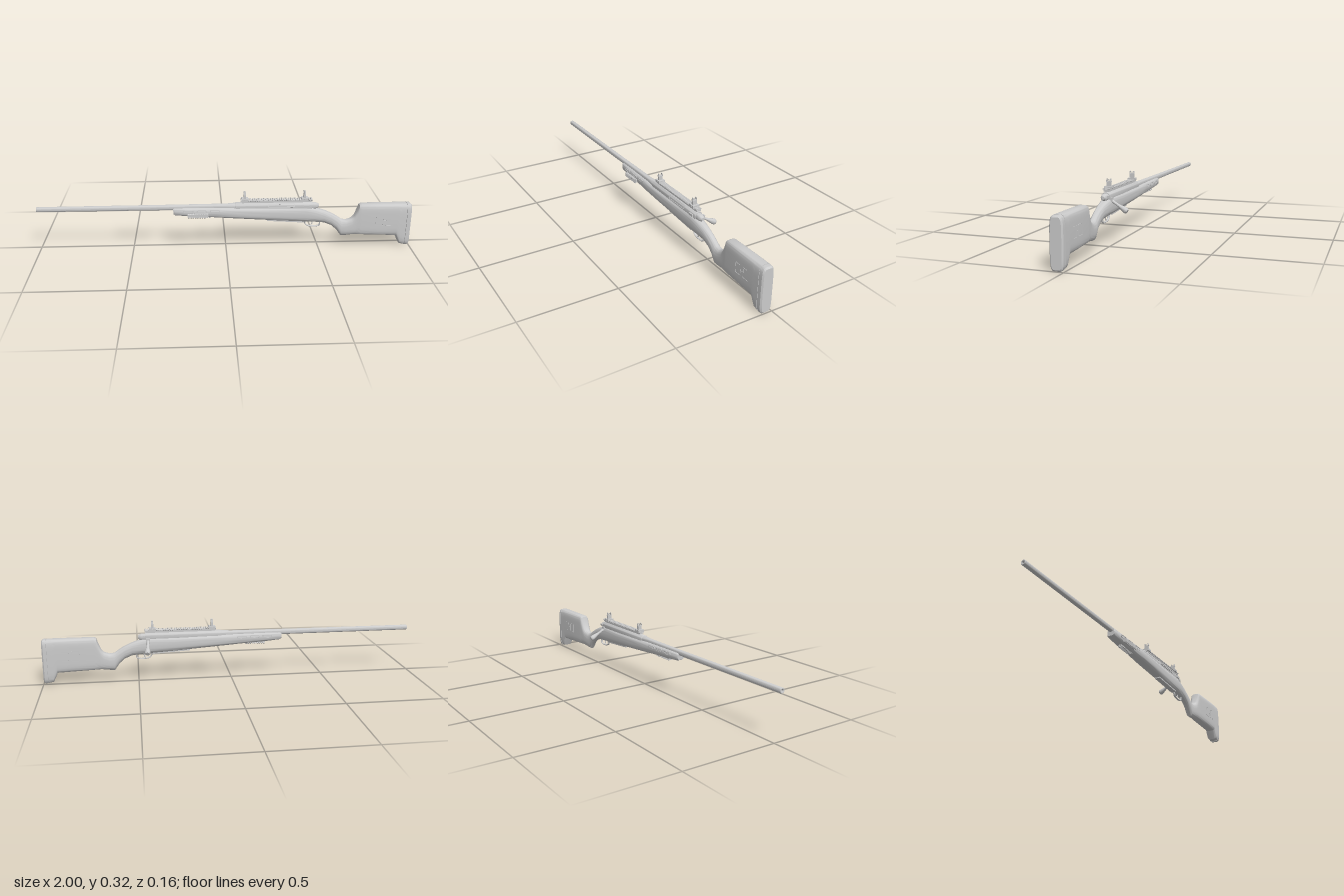
import * as THREE from 'three';
import { toCreasedNormals } from 'three/addons/utils/BufferGeometryUtils.js';

const mat = new THREE.MeshStandardMaterial({ color: 0xcccccc, side: THREE.DoubleSide });

function add(parent, name, geo, x = 0, y = 0, z = 0) {
  const m = new THREE.Mesh(geo, mat);
  m.name = name;
  m.position.set(x, y, z);
  parent.add(m);
  return m;
}
const box = (w, h, d) => new THREE.BoxGeometry(w, h, d);

// Surface of revolution along x; points are [x, radius]
function turned(points, seg = 24) {
  const g = new THREE.LatheGeometry(points.map(([x, r]) => new THREE.Vector2(r, x)), seg);
  return toCreasedNormals(g.rotateZ(-Math.PI / 2), 0.6);
}

// Skin superellipse sections along x; each station is [x, bottom, top, halfWidth, exponent]
function loft(stations, seg = 40) {
  const pos = [], idx = [];
  const power = (v, n) => Math.sign(v) * Math.abs(v) ** (2 / n);
  stations.forEach(([x, b, t, w, n]) => {
    for (let j = 0; j < seg; j++) {
      const a = (j / seg) * Math.PI * 2;
      pos.push(x, (b + t) / 2 + ((t - b) / 2) * power(Math.sin(a), n), w * power(Math.cos(a), n));
    }
  });
  const last = (stations.length - 1) * seg;
  for (let i = 0; i < last; i += seg) {
    for (let j = 0; j < seg; j++) {
      const k = (j + 1) % seg;
      idx.push(i + j, i + seg + j, i + k, i + k, i + seg + j, i + seg + k);
    }
  }
  for (let j = 1; j < seg - 1; j++) idx.push(0, j, j + 1, last, last + j + 1, last + j);
  const g = new THREE.BufferGeometry();
  g.setAttribute('position', new THREE.Float32BufferAttribute(pos, 3));
  g.setIndex(idx);
  return toCreasedNormals(g, 0.6);
}

// Rounded rectangle outline centred on the origin
function roundRect(Type, w, h, r) {
  const s = new Type(), x = w / 2, y = h / 2;
  s.moveTo(-x + r, -y).lineTo(x - r, -y).quadraticCurveTo(x, -y, x, -y + r);
  s.lineTo(x, y - r).quadraticCurveTo(x, y, x - r, y);
  s.lineTo(-x + r, y).quadraticCurveTo(-x, y, -x, y - r);
  s.lineTo(-x, -y + r).quadraticCurveTo(-x, -y, -x + r, -y);
  return s;
}
function frame(w, h, r, rim) {
  const s = roundRect(THREE.Shape, w, h, r);
  s.holes.push(roundRect(THREE.Path, w - 2 * rim, h - 2 * rim, r * 0.7));
  return new THREE.ExtrudeGeometry(s, { depth: 0.004, bevelEnabled: false, curveSegments: 5 }).translate(0, 0, -0.002);
}

// Toothed accessory rail running along x, teeth facing +y
function toothedRail(name, length, width, height, count) {
  const g = new THREE.Group();
  g.name = name;
  add(g, 'railBase', box(length, height * 0.55, width * 0.7), 0, height * 0.27);
  const pitch = length / count, c = width / 2;
  const s = new THREE.Shape([[-c * 0.7, 0.4], [-c, 0.62], [-c, 0.8], [-c * 0.75, 1], [c * 0.75, 1], [c, 0.8], [c, 0.62], [c * 0.7, 0.4]]
    .map(([z, y]) => new THREE.Vector2(z, y * height)));
  const tooth = new THREE.ExtrudeGeometry(s, { depth: pitch * 0.58, bevelEnabled: false }).rotateY(Math.PI / 2);
  for (let i = 0; i < count; i++) add(g, 'railTooth', tooth, -length / 2 + pitch * (i + 0.2), 0);
  return g;
}

// Folding sight with two protective ears
function sight(name, x, aperture) {
  const g = new THREE.Group();
  g.name = name;
  add(g, 'sightClamp', box(0.036, 0.014, 0.036), 0, 0.275);
  add(g, 'sightColumn', box(0.012, 0.026, 0.022), 0, 0.292);
  for (const s of [-1, 1]) {
    const ear = add(g, 'sightEar', box(0.01, 0.016, 0.003), 0, 0.31, s * 0.0105);
    ear.rotation.x = s * -0.2;
    add(g, 'clampScrew', new THREE.CylinderGeometry(0.005, 0.005, 0.004, 12).rotateX(Math.PI / 2), 0, 0.274, s * 0.0185);
  }
  if (aperture) add(g, 'aperture', new THREE.TorusGeometry(0.005, 0.0015, 8, 16).rotateY(Math.PI / 2), 0, 0.31);
  else add(g, 'sightPost', box(0.003, 0.012, 0.003), 0, 0.309);
  g.position.x = x;
  return g;
}

export function createModel() {
  const root = new THREE.Group();
  root.name = 'rifle';
  const body = new THREE.Group();
  body.name = 'rifleBody';
  body.position.z = 0.033;
  root.add(body);

  // One-piece stock: forend, action bed, grip and butt
  add(body, 'stock', loft([
    [-0.28, 0.2, 0.234, 0.021, 3], [-0.27, 0.195, 0.237, 0.026, 3.2], [-0.2, 0.189, 0.237, 0.029, 3.2],
    [-0.05, 0.179, 0.236, 0.03, 3], [0.02, 0.174, 0.235, 0.033, 3], [0.13, 0.166, 0.234, 0.033, 3],
    [0.3, 0.153, 0.232, 0.03, 3], [0.43, 0.145, 0.232, 0.03, 3], [0.48, 0.141, 0.222, 0.028, 2.6],
    [0.53, 0.135, 0.206, 0.024, 2.3], [0.57, 0.118, 0.188, 0.022, 2.2], [0.6, 0.092, 0.17, 0.022, 2.2],
    [0.625, 0.056, 0.152, 0.023, 2.3], [0.65, 0.058, 0.148, 0.024, 2.5], [0.68, 0.063, 0.158, 0.026, 3],
    [0.695, 0.065, 0.175, 0.027, 3.4], [0.71, 0.065, 0.212, 0.028, 4], [0.718, 0.065, 0.235, 0.029, 4.5],
    [0.73, 0.065, 0.24, 0.03, 5], [0.83, 0.061, 0.24, 0.032, 5], [0.925, 0.057, 0.24, 0.033, 5],
    [0.938, 0.028, 0.24, 0.033, 5], [0.948, 0.008, 0.24, 0.033, 5], [0.972, 0.003, 0.24, 0.033, 5],
  ]));
  add(body, 'buttPad', loft([
    [0.972, 0.005, 0.238, 0.031, 5], [0.975, 0.005, 0.238, 0.031, 5], [0.976, 0.001, 0.24, 0.033, 5],
    [0.993, 0.001, 0.239, 0.032, 5], [1, 0.008, 0.232, 0.026, 5],
  ]));

  // Side details of the stock, mirrored
  for (const s of [-1, 1]) {
    for (const x of [-0.2, -0.13, -0.06])
      add(body, 'forendSlot', frame(0.052, 0.016, 0.0075, 0.003), x, 0.219, s * 0.029);
    add(body, 'buttPocket', frame(0.042, 0.055, 0.004, 0.003), 0.828, 0.148, s * 0.0315);
    add(body, 'buttPocketSpine', box(0.004, 0.055, 0.004), 0.865, 0.148, s * 0.032);
    for (const y of [0.122, 0.174]) add(body, 'buttPocketLip', box(0.035, 0.003, 0.004), 0.882, y, s * 0.032);
    add(body, 'buttPocketBridge', box(0.018, 0.004, 0.004), 0.857, 0.148, s * 0.032);
  }

  // Barrel with open muzzle and tapered shank
  add(body, 'barrel', turned([[-0.9, 0], [-0.9, 0.006], [-0.998, 0.006], [-1, 0.008], [-1, 0.012], [-0.996, 0.0135],
    [-0.3, 0.0145], [0, 0.016], [0.06, 0.021], [0.1, 0.021]]), 0, 0.236);

  // Receiver, ejection port frame and bolt
  add(body, 'receiver', turned([[0.05, 0], [0.05, 0.021], [0.053, 0.023], [0.455, 0.023], [0.46, 0.021], [0.46, 0]], 32), 0, 0.235);
  const port = add(body, 'ejectionPort', frame(0.14, 0.02, 0.004, 0.003), 0.295, 0.244, 0.0205);
  port.rotation.x = -0.45;
  add(body, 'boltShroud', turned([[0.455, 0], [0.455, 0.018], [0.48, 0.0175], [0.49, 0.014], [0.498, 0.008], [0.498, 0]]), 0, 0.234);
  add(body, 'boltRelease', box(0.03, 0.012, 0.006), 0.43, 0.236, 0.025);
  add(body, 'safetyLever', box(0.016, 0.01, 0.008), 0.475, 0.238, -0.019);

  // Bolt handle sweeping down on the right side
  const handle = add(body, 'boltHandle', turned([[0, 0], [0, 0.008], [0.02, 0.0065], [0.04, 0.007], [0.06, 0.011],
    [0.078, 0.0145], [0.087, 0.0145], [0.093, 0.011], [0.094, 0]], 20), 0.445, 0.214, -0.026);
  handle.quaternion.setFromUnitVectors(new THREE.Vector3(1, 0, 0), new THREE.Vector3(0.06, -0.5, -0.86).normalize());
  add(body, 'boltHandleRoot', box(0.022, 0.022, 0.018), 0.445, 0.221, -0.021);

  // Top rail and sights
  add(body, 'railMount', box(0.37, 0.014, 0.018), 0.27, 0.259);
  const topRail = toothedRail('topRail', 0.385, 0.032, 0.015, 32);
  topRail.position.set(0.27, 0.261, 0);
  body.add(topRail, sight('frontSight', 0.1, false), sight('rearSight', 0.42, true));

  // Forend accessory rails: left side and underside
  const sideRail = toothedRail('sideRail', 0.11, 0.026, 0.016, 9);
  sideRail.rotation.x = Math.PI / 2;
  sideRail.position.set(-0.15, 0.2, 0.028);
  const lowerRail = toothedRail('lowerRail', 0.11, 0.026, 0.013, 9);
  lowerRail.rotation.x = Math.PI;
  lowerRail.position.set(-0.135, 0.188, 0);
  body.add(sideRail, lowerRail);

  // Floor plate, trigger guard and trigger
  const floor = add(body, 'floorPlate', box(0.2, 0.008, 0.03), 0.32, 0.151);
  floor.rotation.z = -0.065;
  const guard = new THREE.CatmullRomCurve3([[0.425, 0.148], [0.43, 0.127], [0.445, 0.117], [0.49, 0.114], [0.506, 0.12], [0.508, 0.142]]
    .map(([x, y]) => new THREE.Vector3(x, y, 0)));
  add(body, 'triggerGuard', new THREE.TubeGeometry(guard, 28, 0.0035, 8).scale(1, 1, 1.9));
  const trig = new THREE.QuadraticBezierCurve3(new THREE.Vector3(0.464, 0.148, 0), new THREE.Vector3(0.472, 0.132, 0), new THREE.Vector3(0.46, 0.121, 0));
  add(body, 'trigger', new THREE.TubeGeometry(trig, 10, 0.003, 8));

  return root;
}
